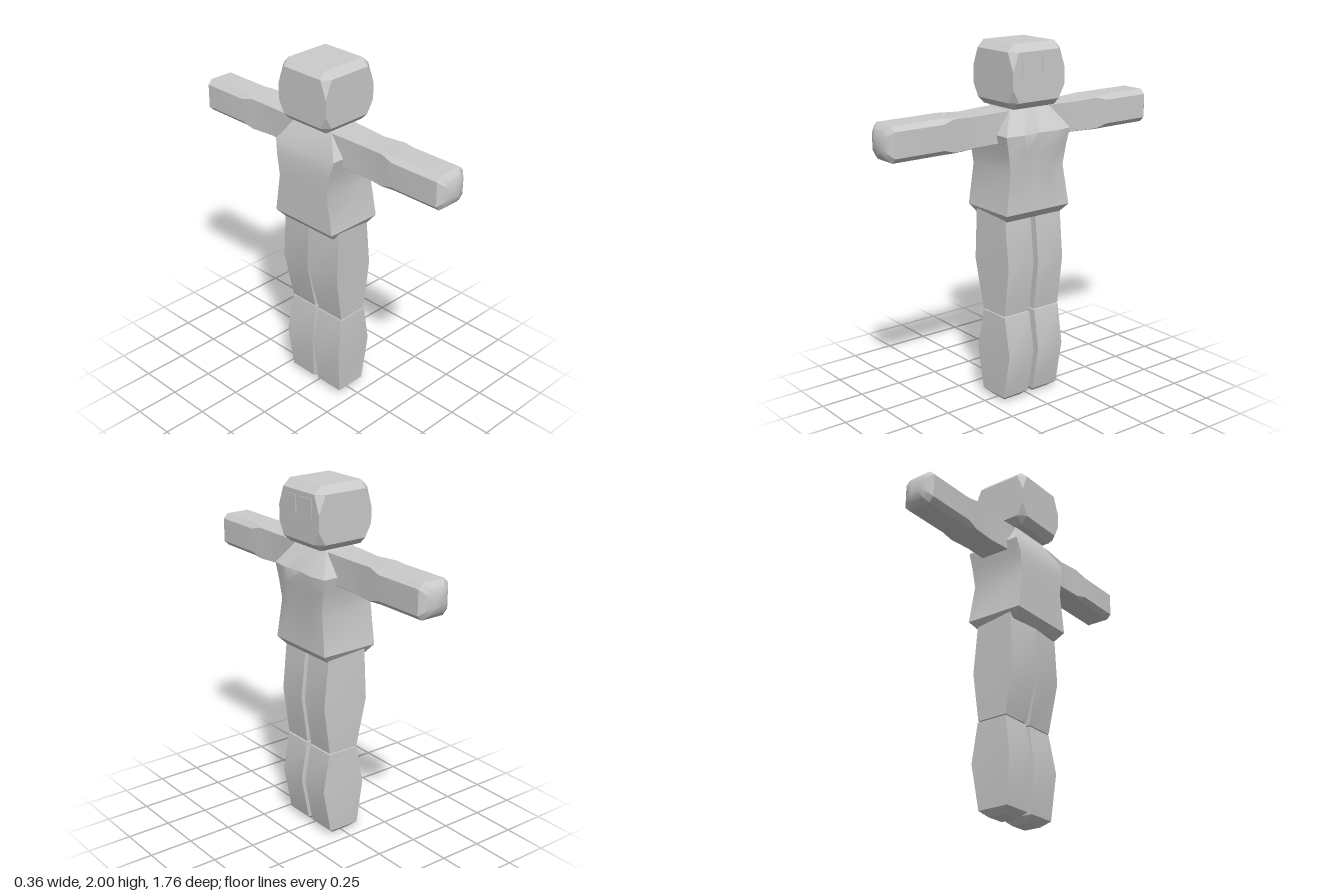
import * as THREE from 'three';
import { toCreasedNormals } from 'three/addons/utils/BufferGeometryUtils.js';
import { ConvexGeometry } from 'three/addons/geometries/ConvexGeometry.js';

const grey = new THREE.MeshStandardMaterial({ color: 0xcccccc });

function part(name, geometry) {
  const mesh = new THREE.Mesh(geometry, grey);
  mesh.name = name;
  return mesh;
}

// Skins a list of rings (counter-clockwise seen from the last ring) and caps both ends.
function loft(rings, crease = 0.45) {
  const n = rings[0].length;
  const pos = rings.flat(2);
  const index = [];
  rings.slice(1).forEach((_, r) => {
    for (let i = 0; i < n; i++) {
      const a = r * n + i, b = r * n + (i + 1) % n;
      index.push(a, b, b + n, a, b + n, a + n);
    }
  });
  const last = (rings.length - 1) * n;
  for (let i = 1; i < n - 1; i++) {
    index.push(0, i + 1, i, last, last + i, last + i + 1);
  }
  const g = new THREE.BufferGeometry();
  g.setAttribute('position', new THREE.Float32BufferAttribute(pos, 3));
  g.setIndex(index);
  return toCreasedNormals(g, crease);
}

// Mirrors rings across z = 0; reversing their order keeps the faces outward.
const mirror = (rings) => rings.map((r) => r.map(([x, y, z]) => [x, y, -z])).reverse();

// Head: box with every edge cut and the upright corners pinched
function createHead() {
  const points = [];
  for (const [outX, inX] of [[-0.18, -0.14], [0.163, 0.12]]) {
    for (const s of [-1, 1]) {
      const outZ = s * 0.172, inZ = s * 0.133;
      for (const y of [1.66, 2]) points.push(new THREE.Vector3(inX, y, inZ));
      for (const y of [1.698, 1.96]) {
        points.push(new THREE.Vector3(inX, y, outZ), new THREE.Vector3(outX, y, inZ));
      }
      for (const y of [1.77, 1.86]) points.push(new THREE.Vector3(outX, y, outZ));
    }
  }
  return part('head', new ConvexGeometry(points));
}

// Torso: [height, back x, corner x, chest x, middle x, half width]
function createTorso() {
  const levels = [
    [1.06, -0.14, 0.12, 0.12, 0.12, 0.185],
    [1.105, -0.18, 0.16, 0.16, 0.16, 0.213],
    [1.33, -0.18, 0.148, 0.152, 0.15, 0.178],
    [1.44, -0.18, 0.155, 0.178, 0.16, 0.195],
    [1.53, -0.168, 0.163, 0.178, 0.163, 0.215],
    [1.67, -0.09, 0.07, 0.07, 0.07, 0.118],
  ];
  return part('torso', loft(levels.map(([y, back, corner, chest, mid, w]) => [
    [corner, y, w], [chest, y, w / 2], [mid, y, 0], [chest, y, -w / 2],
    [corner, y, -w], [back, y, -w], [back, y, w],
  ]), 0.6));
}

// Arm: [z, x min, x max, y min, y max, edge cut]
function armRings() {
  return [
    [0.08, -0.1, 0.08, 1.48, 1.65, 0.002],
    [0.18, -0.1, 0.078, 1.482, 1.65, 0.002],
    [0.34, -0.09, 0.07, 1.477, 1.645, 0.002],
    [0.48, -0.1, 0.08, 1.472, 1.653, 0.004],
    [0.55, -0.106, 0.085, 1.468, 1.656, 0.027],
    [0.84, -0.106, 0.085, 1.468, 1.656, 0.027],
    [0.868, -0.08, 0.058, 1.495, 1.63, 0.024],
    [0.882, -0.045, 0.025, 1.53, 1.595, 0.015],
  ].map(([z, x0, x1, y0, y1, c]) => [
    [x1 - c, y0, z], [x1, y0 + c, z], [x1, y1 - c, z], [x1 - c, y1, z],
    [x0 + c, y1, z], [x0, y1 - c, z], [x0, y0 + c, z], [x0 + c, y0, z],
  ]);
}

// Leg: [y, front x, outer back x, inner back x, front z in, out, back z in, out]
const legSection = ([y, front, outer, inner, fi, fo, bi, bo]) => [
  [front, y, fo], [front, y, fi], [inner, y, bi], [outer, y, bo],
];
const shinRings = () => [
  [0, 0.055, -0.045, -0.045, 0.045, 0.155, 0.045, 0.155],
  [0.032, 0.095, -0.09, -0.09, 0.018, 0.187, 0.018, 0.19],
  [0.29, 0.145, -0.115, -0.115, 0.016, 0.187, 0.002, 0.207],
  [0.512, 0.107, -0.08, -0.08, 0.018, 0.188, 0.016, 0.192],
].map(legSection);
const thighRings = () => [
  [0.518, 0.103, -0.08, -0.08, 0.018, 0.188, 0.016, 0.192],
  [0.8, 0.142, -0.132, -0.148, 0.016, 0.188, 0.002, 0.207],
  [1.09, 0.112, -0.118, -0.138, 0.016, 0.19, 0.002, 0.205],
].map(legSection);

export function createModel() {
  const group = new THREE.Group();
  group.name = 'figure';
  group.add(createHead(), createTorso());

  // Eyes: thin square plates on the face
  for (const s of [-1, 1]) {
    const eye = part('eye', new THREE.BoxGeometry(0.012, 0.095, 0.095));
    eye.position.set(0.161, 1.887, s * 0.068);
    group.add(eye);
  }

  // Limbs, each with its mirrored twin
  for (const [name, rings] of [['arm', armRings()], ['shin', shinRings()], ['thigh', thighRings()]]) {
    group.add(part(name + 'A', loft(rings)), part(name + 'B', loft(mirror(rings))));
  }
  return group;
}
